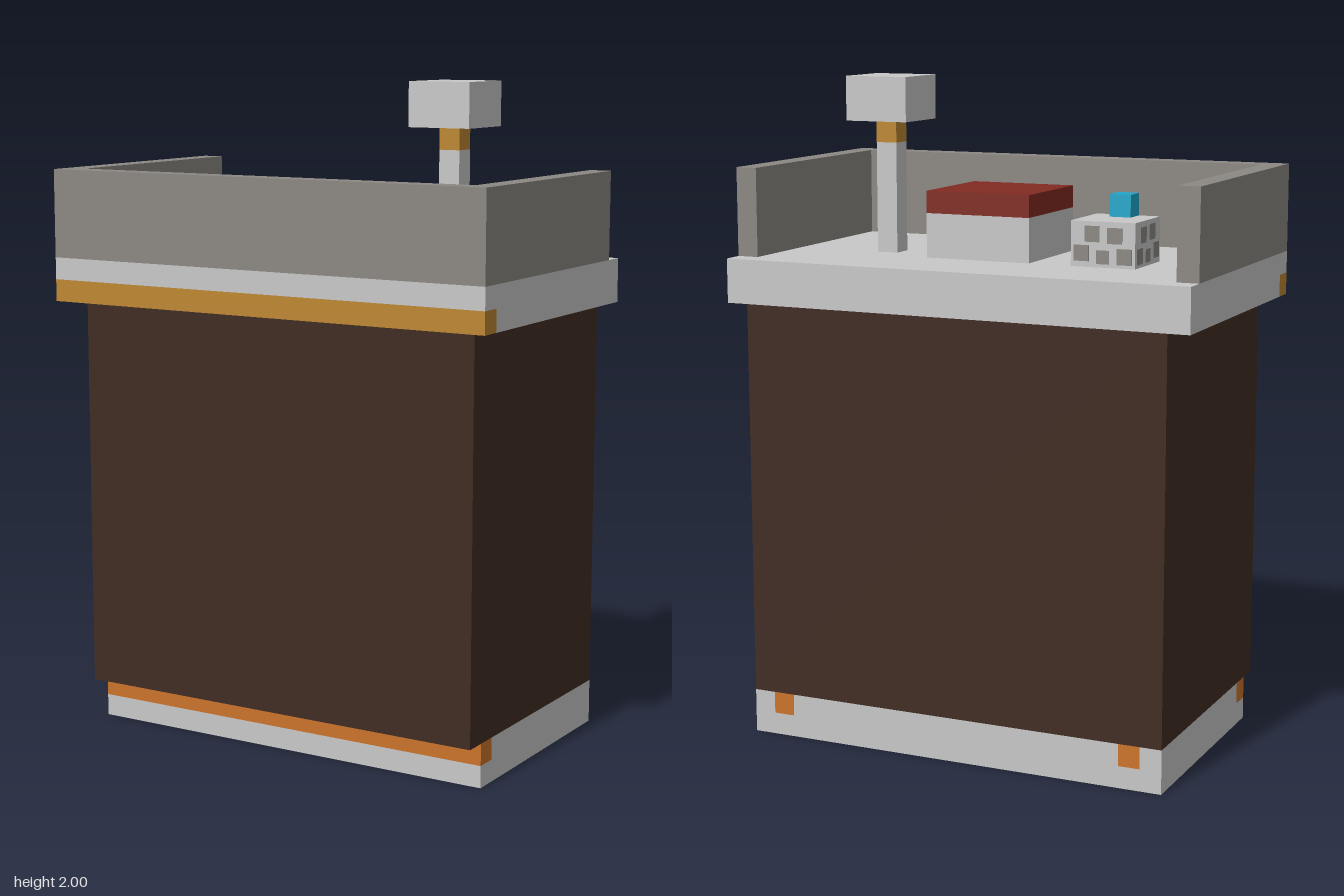
import * as THREE from 'three';

const U = 1 / 15; // grid unit: every part lies on this module

function flat(name, color) {
  const m = new THREE.MeshStandardMaterial({ color });
  m.name = name;
  m.side = THREE.DoubleSide;
  return m;
}

export function createModel() {
  const grey = flat('lightGrey', 0xc8c8c8);
  const stone = flat('stoneGrey', 0x8c8883);
  const brown = flat('darkBrown', 0x402c22);
  const gold = flat('gold', 0xbd8731);
  const orange = flat('orange', 0xcc732b);
  const red = flat('red', 0x822b22);
  const blue = flat('blue', 0x20a8cc);

  const model = new THREE.Group();
  model.name = 'counter';

  function add(name, geometry, material) {
    const mesh = new THREE.Mesh(geometry, material);
    mesh.name = name;
    model.add(mesh);
    return mesh;
  }

  // Solid box from its limits, in grid units
  function box(name, mat, [x0, x1], [y0, y1], [z0, z1]) {
    const g = new THREE.BoxGeometry((x1 - x0) * U, (y1 - y0) * U, (z1 - z0) * U);
    g.translate((x0 + x1) / 2 * U, (y0 + y1) / 2 * U, (z0 + z1) / 2 * U);
    return add(name, g, mat);
  }

  // Upright sheet across x at depth z; side -1 faces back
  function sheetX(name, mat, [x0, x1], [y0, y1], z, side) {
    const g = new THREE.PlaneGeometry((x1 - x0) * U, (y1 - y0) * U);
    if (side < 0) g.rotateY(Math.PI);
    g.translate((x0 + x1) / 2 * U, (y0 + y1) / 2 * U, z * U);
    return add(name, g, mat);
  }

  // Upright sheet along z at x, facing outward
  function sheetZ(name, mat, x, [y0, y1], [z0, z1]) {
    const g = new THREE.PlaneGeometry((z1 - z0) * U, (y1 - y0) * U);
    g.rotateY(Math.sign(x) * Math.PI / 2);
    g.translate(x * U, (y0 + y1) / 2 * U, (z0 + z1) / 2 * U);
    return add(name, g, mat);
  }

  // Hollow plinth, open below, with an orange band along the front
  sheetX('plinthFront', grey, [-10, 10], [0, 1], 4.5, 1);
  sheetX('plinthFrontBand', orange, [-10, 10], [1, 2], 4.5, 1);
  sheetX('plinthBack', grey, [-10, 10], [0, 1], -6.5, -1);
  sheetX('plinthBackMiddle', grey, [-8, 8], [1, 2], -6.5, -1);
  for (const s of [-1, 1]) {
    const span = (a, b) => [Math.min(s * a, s * b), Math.max(s * a, s * b)];
    sheetX('plinthBackPatch', orange, span(8, 9), [1, 2], -6.5, -1);
    sheetX('plinthBackCorner', grey, span(9, 10), [1, 2], -6.5, -1);
    sheetZ('plinthSide', grey, s * 10, [0, 1], [-6.5, 4.5]);
    sheetZ('plinthSideUpper', grey, s * 10, [1, 2], [-6.5, 3.5]);
    sheetZ('plinthSideBand', orange, s * 10, [1, 2], [3.5, 4.5]);
    // Cabinet sides and tray walls
    sheetZ('cabinetSide', brown, s * 10, [2, 20], [-6.5, 5.5]);
    box('sideWall', stone, span(10, 11), [22, 26], [-5.5, 5.5]);
  }

  // Hollow cabinet
  sheetX('cabinetFront', brown, [-10, 10], [2, 20], 5.5, 1);
  sheetX('cabinetBack', brown, [-10, 10], [2, 20], -6.5, -1);
  const lip = new THREE.PlaneGeometry(20 * U, U);
  lip.rotateX(Math.PI / 2).translate(0, 2 * U, 5 * U);
  add('cabinetLip', lip, brown);

  // Worktop with gold front trim and raised front wall
  box('worktopLower', grey, [-11, 11], [20, 21], [-6.5, 5.5]);
  box('worktopTrim', gold, [-11, 11], [20, 21], [5.5, 6.5]);
  box('worktopUpper', grey, [-11, 11], [21, 22], [-6.5, 6.5]);
  box('frontWall', stone, [-11, 11], [22, 26], [5.5, 6.5]);

  // Lamp on a square post
  box('lampPost', grey, [5, 6], [22, 27], [-1.5, -0.5]);
  box('lampCollar', gold, [5, 6], [27, 28], [-1.5, -0.5]);
  box('lampHead', grey, [4, 7], [28, 30], [-2.5, 0.5]);

  // Central box with red lid
  box('centreBox', grey, [-2, 3], [22, 24], [-2.5, 2.5]);
  box('centreLid', red, [-2, 3], [24, 25], [-2.5, 2.5]);

  // Mottled box with blue button
  box('mottledBox', grey, [-7, -4], [22, 24], [-2.5, 0.5]);
  box('blueButton', blue, [-6, -5], [24, 25], [-0.5, 0.5]);
  const t = 0.03;
  for (const [u, v, r] of [[0.5, 0.5, 0.35], [1.5, 0.45, 0.3], [2.5, 0.6, 0.35], [0.95, 1.4, 0.35], [2, 1.45, 0.35]]) {
    const ys = [22 + v - r, 22 + v + r];
    const xs = [-7 + u - r, -7 + u + r];
    const zs = [-2.5 + u - r, -2.5 + u + r];
    box('mottleFront', stone, xs, ys, [0.5, 0.5 + t]);
    box('mottleBack', stone, xs, ys, [-2.5 - t, -2.5]);
    box('mottleRight', stone, [-7 - t, -7], ys, zs);
    box('mottleLeft', stone, [-4, -4 + t], ys, zs);
  }
  return model;
}
